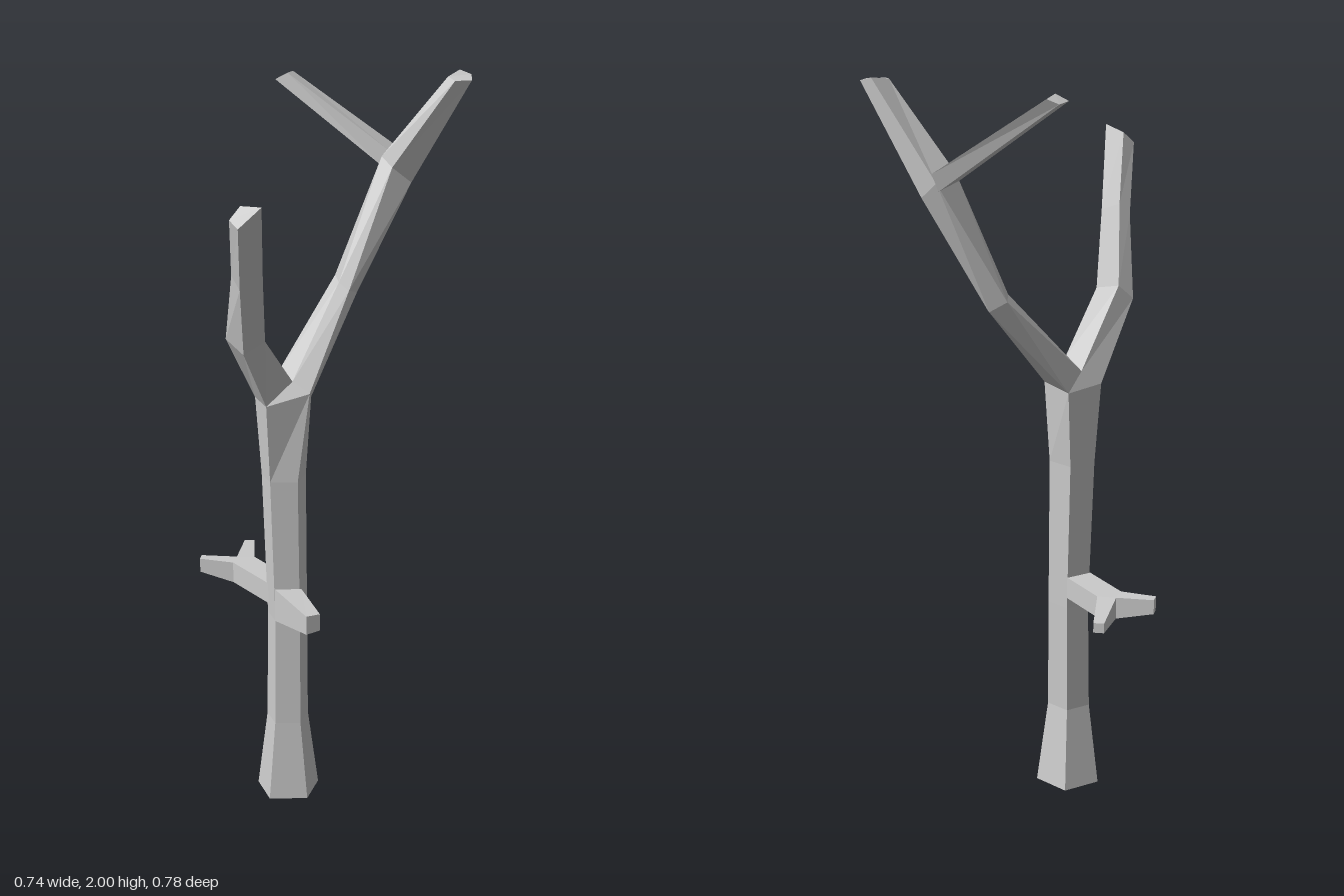
import * as THREE from 'three';

const material = new THREE.MeshStandardMaterial({ color: 0xcccccc, flatShading: true });

// Skin a list of rings (corners counter-clockwise seen from the far end)
function loft(name, rings, capStart = false, capEnd = true) {
  const n = rings[0].length, pos = [];
  const tri = (...pts) => pts.forEach(p => pos.push(...p));
  for (let i = 0; i < rings.length - 1; i++) {
    const a = rings[i], b = rings[i + 1];
    for (let j = 0; j < n; j++) {
      const k = (j + 1) % n;
      tri(a[j], a[k], b[k]);
      tri(a[j], b[k], b[j]);
    }
  }
  const first = rings[0], last = rings[rings.length - 1];
  for (let j = 1; j < n - 1; j++) {
    if (capStart) tri(first[0], first[j + 1], first[j]);
    if (capEnd) tri(last[0], last[j], last[j + 1]);
  }
  const geometry = new THREE.BufferGeometry();
  geometry.setAttribute('position', new THREE.Float32BufferAttribute(pos, 3));
  geometry.computeVertexNormals();
  const mesh = new THREE.Mesh(geometry, material);
  mesh.name = name;
  return mesh;
}

// Five-sided trunk ring with a flat face to the front, starting front right
const pentagon = (x, y, z, r) => Array.from({ length: 5 }, (_, i) => {
  const t = Math.PI * (0.2 + 0.4 * i);
  return [x + r * Math.sin(t), y, z + r * Math.cos(t)];
});

// Upright four-cornered section between two plan points [x, z]
const section = (a, b, y0, y1) =>
  [[a[0], y0, a[1]], [b[0], y0, b[1]], [b[0], y1, b[1]], [a[0], y1, a[1]]];

export function createModel() {
  const tree = new THREE.Group();
  tree.name = 'bareTree';

  // Trunk top corners and the saddle edge between the two main branches
  const frontRight = [-0.065, 1.195, 0.015], right = [-0.06, 1.17, -0.04];
  const back = [-0.13, 1.16, -0.105], left = [-0.21, 1.17, -0.04];
  const frontLeft = [-0.18, 1.17, 0.045];
  const saddleBack = [-0.16, 1.21, -0.065], saddleFront = [-0.11, 1.225, 0];

  tree.add(loft('trunk', [
    pentagon(-0.13, 0, -0.028, 0.09),
    pentagon(-0.13, 0.23, -0.02, 0.06),
    pentagon(-0.128, 0.54, -0.027, 0.057),
    pentagon(-0.135, 0.95, -0.025, 0.063),
    [frontRight, right, back, left, frontLeft],
  ], true, false));

  // Crotch faces that close the trunk between the branches
  tree.add(loft('crotchFront', [[frontLeft, frontRight, saddleFront]]));
  tree.add(loft('crotchBack', [[back, left, saddleBack]]));

  // Shorter four-sided branch, leaning forward
  tree.add(loft('frontBranch', [
    [left, frontLeft, saddleFront, saddleBack],
    [[-0.282, 1.37, 0.085], [-0.235, 1.35, 0.165], [-0.18, 1.38, 0.145], [-0.245, 1.41, 0.06]],
    [[-0.262, 1.57, 0.205], [-0.24, 1.55, 0.27], [-0.183, 1.57, 0.25], [-0.235, 1.6, 0.19]],
    [[-0.262, 1.74, 0.325], [-0.24, 1.733, 0.39], [-0.183, 1.78, 0.365], [-0.235, 1.77, 0.305]],
  ]));

  // Taller five-sided branch, leaning back and sideways
  tree.add(loft('backBranch', [
    [saddleFront, frontRight, right, back, saddleBack],
    [[0.018, 1.445, -0.185], [0.045, 1.425, -0.17], [0.068, 1.41, -0.21],
      [0.055, 1.42, -0.27], [0.01, 1.445, -0.262]],
    [[0.135, 1.77, -0.268], [0.162, 1.745, -0.24], [0.215, 1.7, -0.26],
      [0.215, 1.715, -0.308], [0.175, 1.755, -0.325]],
    [[0.305, 1.99, -0.22], [0.32, 1.985, -0.18], [0.365, 1.985, -0.19],
      [0.37, 1.99, -0.255], [0.34, 2, -0.27]],
  ]));

  // Long thin twig on the taller branch
  tree.add(loft('upperTwig', [
    [[0.17, 1.735, -0.325], [0.135, 1.745, -0.265], [0.155, 1.785, -0.265], [0.185, 1.78, -0.333]],
    [[-0.13, 1.965, -0.39], [-0.148, 1.965, -0.34], [-0.115, 1.982, -0.34], [-0.1, 1.978, -0.395]],
  ]));

  // Stub on the front of the trunk
  tree.add(loft('frontStub', [
    [[-0.163, 0.54, 0.018], [-0.09, 0.54, 0.018], [-0.09, 0.635, 0.018], [-0.163, 0.635, 0.018]],
    [[-0.08, 0.61, 0.26], [-0.044, 0.615, 0.245], [-0.044, 0.662, 0.245], [-0.08, 0.662, 0.26]],
  ]));

  // Forked twig on the back of the trunk
  const inner = [-0.22, -0.21], outer = [-0.28, -0.17], fork = [-0.27, -0.213];
  tree.add(loft('forkStem', [
    section([-0.12, -0.073], [-0.18, -0.033], 0.57, 0.63),
    section(inner, outer, 0.575, 0.635),
    section(fork, fork, 0.575, 0.635),
  ], false, false));
  tree.add(loft('forkSideTwig', [
    section(fork, outer, 0.575, 0.635),
    section([-0.37, -0.222], [-0.374, -0.196], 0.597, 0.637),
  ]));
  tree.add(loft('forkBackTwig', [
    section(inner, fork, 0.575, 0.635),
    section([-0.222, -0.357], [-0.25, -0.358], 0.598, 0.625),
  ]));

  return tree;
}
